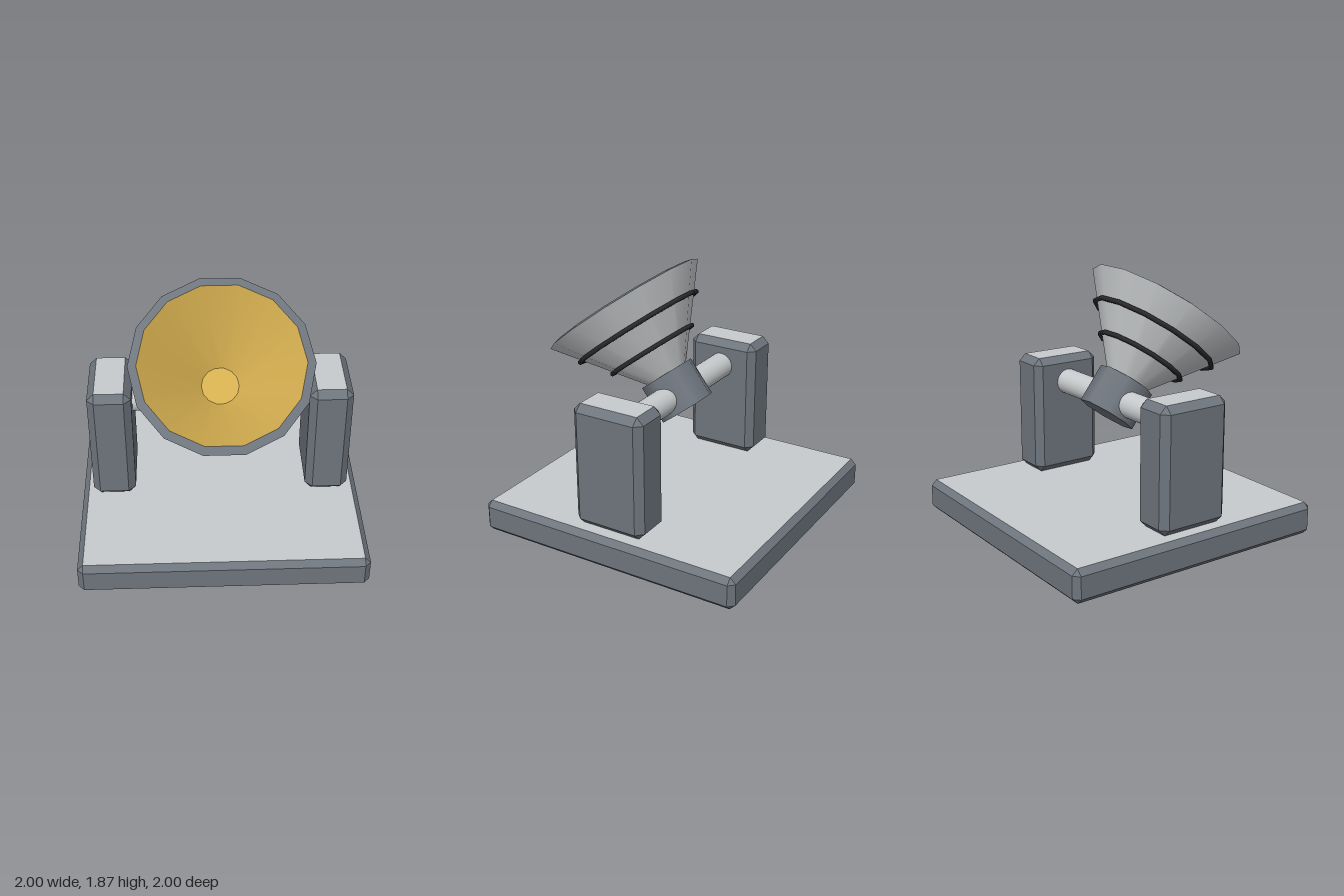
import * as THREE from 'three';

const mat = (name, color) => {
  const m = new THREE.MeshStandardMaterial({ color });
  m.name = name;
  return m;
};

export function createModel() {
  const slate = mat('slate grey', 0x6e757d);
  const light = mat('light grey', 0xc8cbcd);
  const gold = mat('gold', 0xd5af50);
  const dark = mat('near black', 0x2a2a2d);

  const add = (parent, name, geometry, material) => {
    const mesh = new THREE.Mesh(geometry, material);
    mesh.name = name;
    parent.add(mesh);
    return mesh;
  };

  // Flat-shaded sides of a box with every edge chamfered by c, standing on y = 0
  const chamferedSides = (w, h, d, c) => {
    const ring = (y, cut) => {
      const x = w / 2, z = d / 2, i = c;
      const pts = cut
        ? [[x, z - i], [x, i - z], [x - i, -z], [i - x, -z], [-x, i - z], [-x, z - i], [i - x, z], [x - i, z]]
        : [[1, 1], [1, -1], [1, -1], [-1, -1], [-1, -1], [-1, 1], [-1, 1], [1, 1]].map(([a, b]) => [a * (x - i), b * (z - i)]);
      return pts.map(([px, pz]) => [px, y, pz]);
    };
    const rings = [ring(0, false), ring(c, true), ring(h - c, true), ring(h, false)];
    const pos = [];
    const same = (p, q) => p.every((v, k) => v === q[k]);
    const tri = (a, b, e) => {
      if (!same(a, b) && !same(b, e) && !same(a, e)) pos.push(...a, ...b, ...e);
    };
    for (let r = 0; r < 3; r++) {
      for (let k = 0; k < 8; k++) {
        const n = (k + 1) % 8;
        tri(rings[r][k], rings[r][n], rings[r + 1][n]);
        tri(rings[r][k], rings[r + 1][n], rings[r + 1][k]);
      }
    }
    const g = new THREE.BufferGeometry();
    g.setAttribute('position', new THREE.Float32BufferAttribute(pos, 3));
    g.computeVertexNormals();
    return g;
  };

  // Chamfered block: slate sides, light top and bottom faces
  const block = (name, w, h, d, c) => {
    const group = new THREE.Group();
    group.name = name;
    add(group, name + 'Sides', chamferedSides(w, h, d, c), slate);
    const face = () => new THREE.PlaneGeometry(w - 2 * c, d - 2 * c);
    add(group, name + 'Top', face().rotateX(-Math.PI / 2).translate(0, h, 0), light);
    add(group, name + 'Bottom', face().rotateX(Math.PI / 2), light);
    return group;
  };

  const model = new THREE.Group();
  model.name = 'tiltingDish';

  // Base slab and the two supports
  model.add(block('base', 2, 0.235, 2, 0.04));
  for (const [name, side] of [['leftSupport', 1], ['rightSupport', -1]]) {
    const support = block(name, 0.305, 0.885, 0.54, 0.05);
    support.position.set(side * 0.768, 0.235, 0);
    model.add(support);
  }

  // Axle between the supports
  const pivotY = 0.925;
  add(model, 'axle', new THREE.CylinderGeometry(0.094, 0.094, 1.3, 32).rotateZ(Math.PI / 2), light).position.y = pivotY;

  // Tilted head: its local y is the dish axis
  const head = new THREE.Group();
  head.name = 'head';
  head.position.y = pivotY;
  head.rotation.x = 0.657;
  model.add(head);

  add(head, 'hub', new THREE.CylinderGeometry(0.21, 0.21, 0.285, 8, 1, false, 0.14), slate).position.y = 0.0175;

  // Dish shell, rim and lining share the same fourteen sides
  const lathe = (...pts) =>
    new THREE.LatheGeometry(pts.map(([r, y]) => new THREE.Vector2(r, y)), 14, Math.PI / 2);
  add(head, 'dishShell', lathe([0.15, 0.146], [0.6125, 0.737]), light);
  add(head, 'dishRim', lathe([0.6125, 0.737], [0.555, 0.752]), slate);
  add(head, 'dishLining', lathe([0.555, 0.752], [0.13, 0.245]), gold);
  add(head, 'dishFloor', new THREE.CircleGeometry(0.132, 24).rotateX(-Math.PI / 2), gold).position.y = 0.246;

  // Dark hoops around the shell
  for (const [name, radius, y] of [['upperHoop', 0.482, 0.545], ['lowerHoop', 0.331, 0.356]]) {
    add(head, name, new THREE.TorusGeometry(radius, 0.018, 6, 14).rotateX(Math.PI / 2), dark).position.y = y;
  }

  return model;
}
